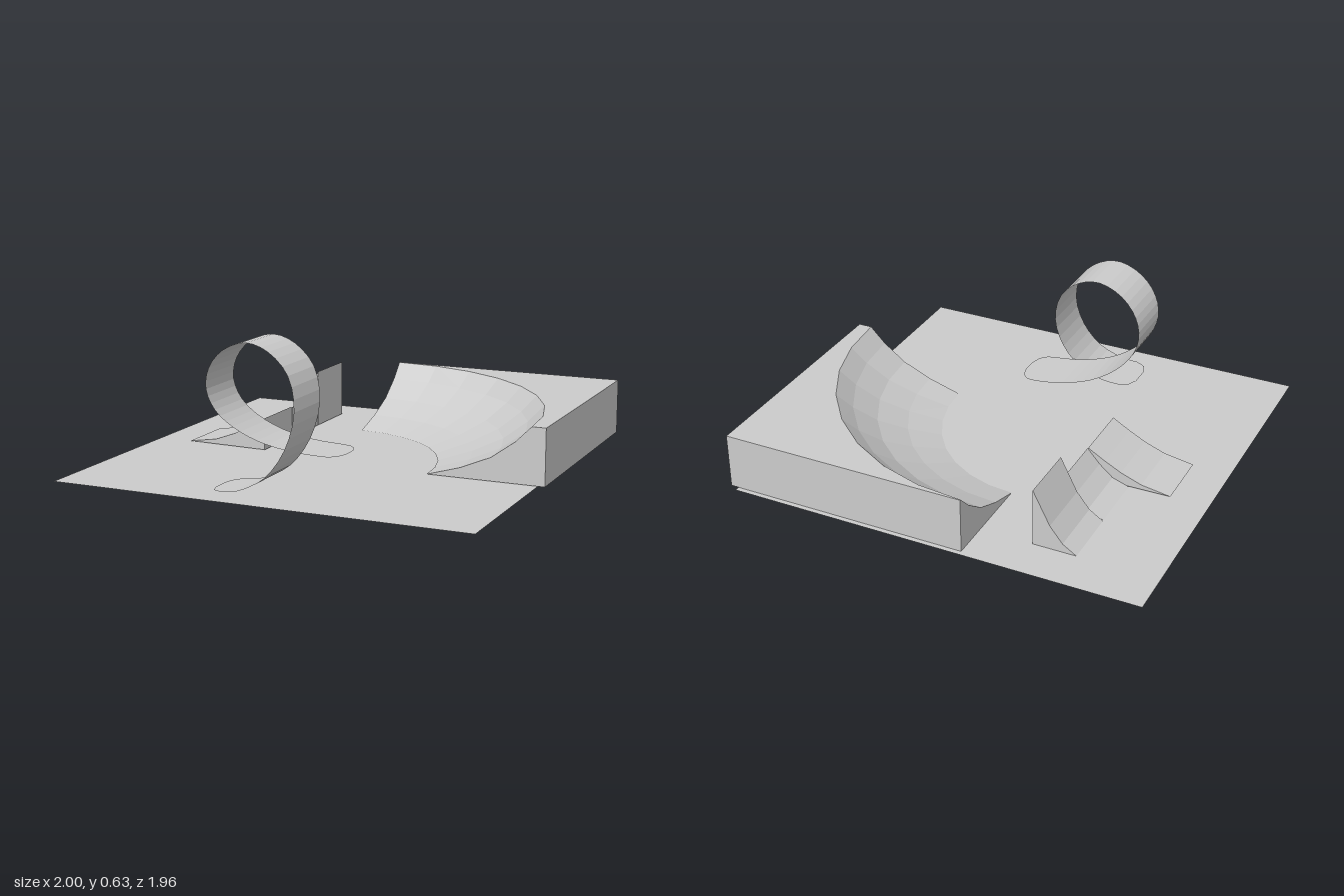
import * as THREE from 'three';

const material = new THREE.MeshStandardMaterial({
  color: 0xcccccc, flatShading: true, side: THREE.DoubleSide,
});

function add(parent, name, geometry) {
  const mesh = new THREE.Mesh(geometry, material);
  mesh.name = name;
  parent.add(mesh);
  return mesh;
}

// Faceted sheet from point(i, j), with nu x nv quads
function sheet(nu, nv, point) {
  const positions = [];
  for (let i = 0; i < nu; i++) {
    for (let j = 0; j < nv; j++) {
      const a = point(i, j), b = point(i + 1, j), c = point(i + 1, j + 1), d = point(i, j + 1);
      positions.push(...a, ...b, ...d, ...b, ...c, ...d);
    }
  }
  const geometry = new THREE.BufferGeometry();
  geometry.setAttribute('position', new THREE.Float32BufferAttribute(positions, 3));
  geometry.computeVertexNormals();
  return geometry;
}

const polygon = (points) => new THREE.Shape(points.map(([x, y]) => new THREE.Vector2(x, y)));
const face = (points) => new THREE.ShapeGeometry(polygon(points));

// Quarter bowl hollowed out of a corner block
function createBowl() {
  const bowl = new THREE.Group();
  bowl.name = 'cornerBowl';
  const x0 = -0.165, x1 = 1, z0 = -0.96, z1 = 0.2, base = 0.003, top = 0.265;
  const stretch = 0.055, steps = 8;
  const profile = [[0.615, base], [0.775, 0.05], [0.915, 0.11], [1.025, 0.19], [1.1, top]];
  const point = (i, j) => {
    const a = (i / steps) * Math.PI / 2, [r, y] = profile[j];
    return [x0 + r * Math.sin(a), y, z1 - (r + stretch) * Math.cos(a)];
  };
  add(bowl, 'bowlSurface', sheet(steps, profile.length - 1, point));

  // Flat deck around the rim and underside, as (x, z) outlines
  const outline = (j) => {
    const points = [];
    for (let i = 0; i <= steps; i++) {
      const [x, , z] = point(i, j);
      points.push([x, z]);
    }
    points.push([x1, z1], [x1, z0], [x0, z0]);
    return points;
  };
  add(bowl, 'deck', face(outline(profile.length - 1).map(([x, z]) => [x, -z]))
    .rotateX(-Math.PI / 2).translate(0, top, 0));
  add(bowl, 'underside', face(outline(0)).rotateX(Math.PI / 2).translate(0, base, 0));

  // Cut ends showing the bowl section
  add(bowl, 'frontWall', face([
    ...profile.map(([r, y]) => [x0 + r, y]), [x1, top], [x1, base],
  ]).translate(0, 0, z1));
  add(bowl, 'leftWall', face([
    ...profile.map(([r, y]) => [z1 - r - stretch, y]), [z0, top], [z0, base],
  ]).rotateY(-Math.PI / 2).translate(x0, 0, 0)).name = 'innerSideWall';

  // Straight outer walls
  const h = top - base, midY = (top + base) / 2;
  add(bowl, 'outerSideWall', new THREE.PlaneGeometry(z1 - z0, h)
    .rotateY(Math.PI / 2).translate(x1, midY, (z0 + z1) / 2));
  add(bowl, 'backWall', new THREE.PlaneGeometry(x1 - x0, h)
    .rotateY(Math.PI).translate((x0 + x1) / 2, midY, z0));
  return bowl;
}

// Concave ramp extruded along z
function createRamp(name, profile, zBack, zFront) {
  const end = profile[profile.length - 1];
  const shape = polygon([...profile, [end[0], 0.003]]);
  const geometry = new THREE.ExtrudeGeometry(shape, { depth: zFront - zBack, bevelEnabled: false });
  const ramp = new THREE.Mesh(geometry.translate(0, 0, zBack), material);
  ramp.name = name;
  return ramp;
}

// Thin ribbon following a corkscrew loop, with rounded tips
function createLoop() {
  // x, y, z of the centre line and half the width
  const stations = [
    [-0.295, 0.006, 0.74, 0.05], [-0.275, 0.007, 0.74, 0.1], [-0.23, 0.01, 0.737, 0.126],
    [-0.15, 0.02, 0.73, 0.128], [-0.04, 0.08, 0.705, 0.128], [0.04, 0.2, 0.67, 0.128],
    [0.07, 0.36, 0.633, 0.128], [0.03, 0.51, 0.608, 0.128], [-0.07, 0.603, 0.594, 0.128],
    [-0.18, 0.633, 0.584, 0.128], [-0.3, 0.592, 0.57, 0.128], [-0.38, 0.505, 0.555, 0.128],
    [-0.405, 0.405, 0.538, 0.128], [-0.375, 0.31, 0.515, 0.128], [-0.305, 0.235, 0.487, 0.128],
    [-0.2, 0.175, 0.457, 0.128], [-0.06, 0.137, 0.432, 0.128], [0.06, 0.125, 0.418, 0.128],
    [0.12, 0.122, 0.415, 0.122], [0.152, 0.121, 0.415, 0.09], [0.168, 0.12, 0.412, 0.04],
  ];
  const path = new THREE.CatmullRomCurve3(stations.map(([x, y, z]) => new THREE.Vector3(x, y, z)));
  const widths = stations.map((s) => s[3]);
  const steps = (stations.length - 1) * 3;
  return sheet(steps, 1, (i, j) => {
    const p = path.getPoint(i / steps);
    const k = Math.min(Math.floor(i / 3), widths.length - 2);
    const w = THREE.MathUtils.lerp(widths[k], widths[k + 1], i / 3 - k);
    return [p.x, p.y, p.z + (j ? -w : w)];
  });
}

export function createModel() {
  const model = new THREE.Group();
  model.name = 'stuntPark';

  add(model, 'ground', new THREE.PlaneGeometry(1.965, 1.96)
    .rotateX(-Math.PI / 2).translate(-0.0175, 0, 0));
  model.add(createBowl());

  // Row of three ramps, tallest at the back
  model.add(
    createRamp('tallRamp',
      [[-0.62, 0.003], [-0.555, 0.045], [-0.495, 0.12], [-0.415, 0.277]], -0.78, -0.495),
    createRamp('middleRamp',
      [[-0.62, 0.003], [-0.54, 0.03], [-0.475, 0.085], [-0.415, 0.153]], -0.49, -0.2),
    createRamp('longRamp',
      [[-0.82, 0.008], [-0.68, 0.03], [-0.58, 0.067], [-0.5, 0.108], [-0.418, 0.155]], -0.2, 0.09),
  );

  add(model, 'corkscrewLoop', createLoop());
  return model;
}
